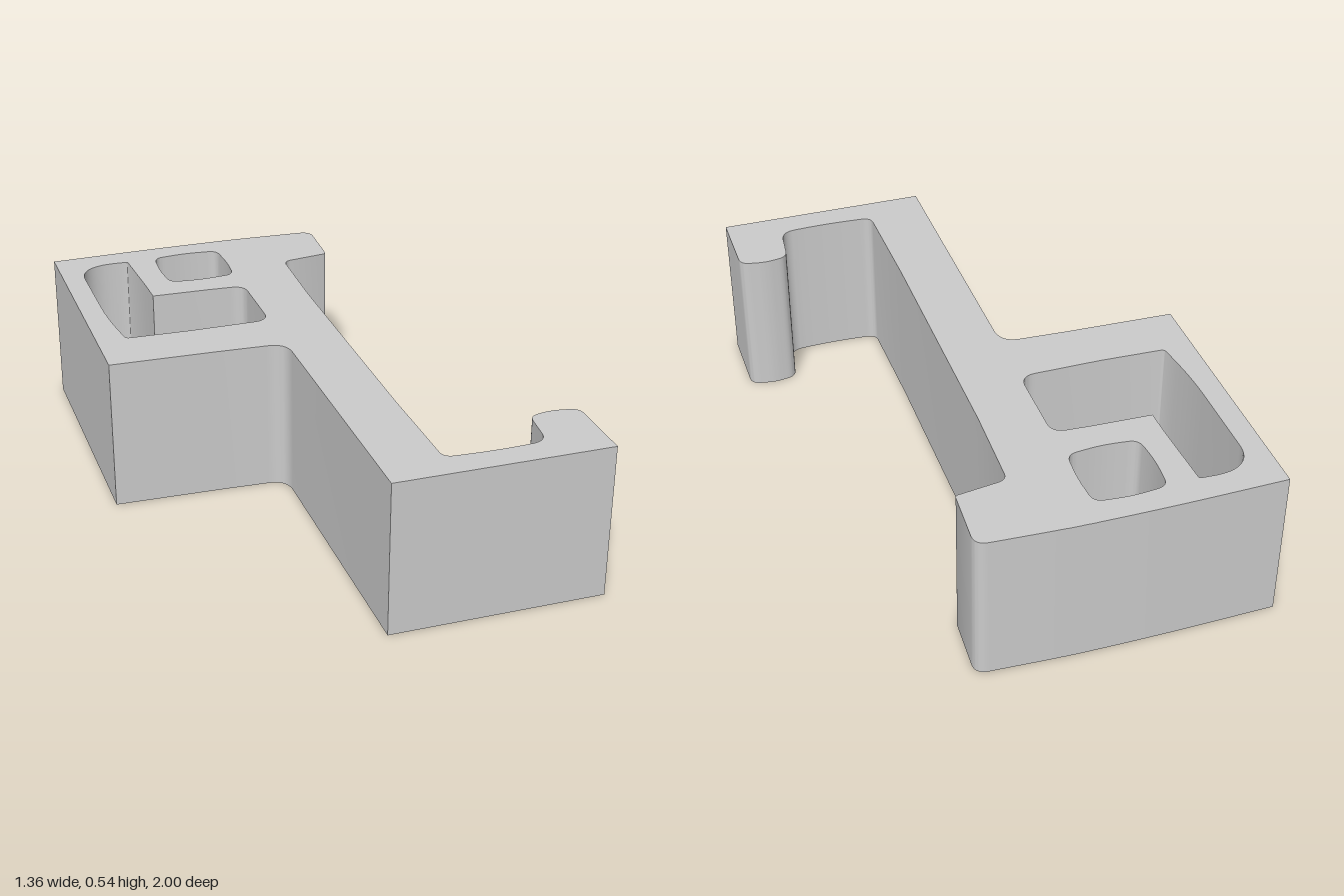
import * as THREE from 'three';
import { toCreasedNormals } from 'three/addons/utils/BufferGeometryUtils.js';

const HEIGHT = 0.54;

// Closed path through [x, z, corner length]; each corner is rounded by a curve.
function trace(path, corners) {
  const n = corners.length;
  const pts = corners.map(([x, z]) => new THREE.Vector2(x, -z));
  const toward = (a, b, d) => a.clone().add(b.clone().sub(a).setLength(d));
  corners.forEach(([, , r = 0], i) => {
    const p = pts[i];
    const start = r ? toward(p, pts[(i + n - 1) % n], r) : p;
    if (i === 0) path.moveTo(start.x, start.y);
    else path.lineTo(start.x, start.y);
    if (r) {
      const end = toward(p, pts[(i + 1) % n], r);
      path.quadraticCurveTo(p.x, p.y, end.x, end.y);
    }
  });
  path.closePath();
  return path;
}

export function createModel() {
  const group = new THREE.Group();
  group.name = 'hookTool';

  // Outer profile: handle block, stem, upper lip and lower hook
  const profile = trace(new THREE.Shape(), [
    [-0.682, -0.99], [-0.2, -1.0, 0.25], [0.05, -0.995, 0.1], [0.337, -0.98, 0.045],
    [0.325, -0.747, 0.012], [0.149, -0.722, 0.03], [0.14, -0.4], [0.14, 0.5],
    [0.147, 0.897, 0.035], [0.32, 0.908, 0.1], [0.49, 0.899, 0.05],
    [0.507, 0.731, 0.035], [0.59, 0.717, 0.03], [0.68, 0.733, 0.035],
    [0.68, 1], [-0.06, 1], [-0.064, -0.02, 0.07], [-0.3, -0.031], [-0.68, -0.042],
  ]);

  // Openings wind the opposite way to the profile so their walls face inward:
  // an L-shaped finger opening and a small square one
  profile.holes.push(
    trace(new THREE.Path(), [
      [-0.602, -0.42, 0.1], [-0.578, -0.234, 0.015], [-0.35, -0.226],
      [-0.062, -0.228, 0.055], [-0.062, -0.543, 0.05], [-0.2, -0.551],
      [-0.402, -0.557], [-0.405, -0.66], [-0.418, -0.898, 0.008],
      [-0.49, -0.902, 0.03], [-0.605, -0.885, 0.1],
    ]),
    trace(new THREE.Path(), [
      [-0.321, -0.78, 0.05], [-0.31, -0.665, 0.035], [-0.19, -0.653, 0.05],
      [-0.068, -0.665, 0.035], [-0.06, -0.78, 0.05], [-0.068, -0.902, 0.035],
      [-0.19, -0.914, 0.05], [-0.312, -0.902, 0.035],
    ]),
  );

  const geometry = new THREE.ExtrudeGeometry(profile, {
    depth: HEIGHT, bevelEnabled: false, curveSegments: 10,
  });
  geometry.rotateX(-Math.PI / 2);

  const body = new THREE.Mesh(
    toCreasedNormals(geometry, Math.PI / 6),
    new THREE.MeshStandardMaterial({ color: 0xcccccc }),
  );
  body.name = 'hookBody';
  group.add(body);
  return group;
}
